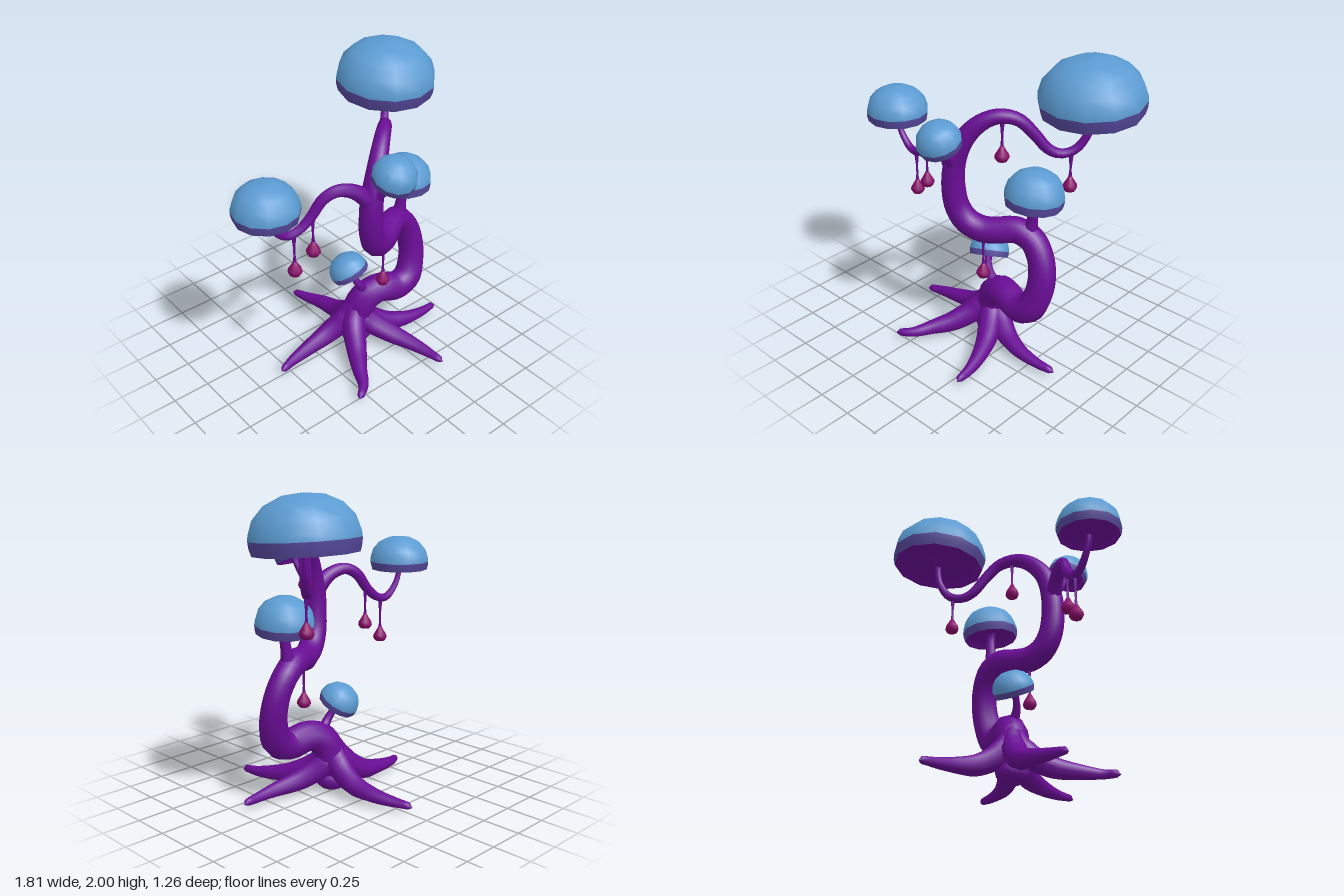
import * as THREE from 'three';
import { mergeVertices } from 'three/addons/utils/BufferGeometryUtils.js';

function mat(name, color) {
  const m = new THREE.MeshStandardMaterial({ color });
  m.name = name;
  return m;
}

// Tapered tube through points [x, y, z, radius]; floor flattens the underside
function taperedTube(points, segments, sides, floor = -Infinity) {
  const curve = new THREE.CatmullRomCurve3(points.map(p => new THREE.Vector3(p[0], p[1], p[2])));
  let geo = new THREE.TubeGeometry(curve, segments, 1, sides);
  const pos = geo.attributes.position;
  const v = new THREE.Vector3();
  for (let i = 0; i <= segments; i++) {
    const u = i / segments;
    const centre = curve.getPointAt(u);
    const t = curve.getUtoTmapping(u) * (points.length - 1);
    const k = Math.min(Math.floor(t), points.length - 2);
    const r = THREE.MathUtils.lerp(points[k][3], points[k + 1][3], t - k);
    for (let j = 0; j <= sides; j++) {
      const n = i * (sides + 1) + j;
      v.fromBufferAttribute(pos, n).sub(centre).multiplyScalar(r).add(centre);
      pos.setXYZ(n, v.x, Math.max(v.y, floor), v.z);
    }
  }
  geo.deleteAttribute('uv');
  geo.deleteAttribute('normal');
  geo = mergeVertices(geo, 1e-5);
  geo.computeVertexNormals();
  return geo;
}

function lathe(profile, scale, sides, stretch = 1) {
  return new THREE.LatheGeometry(
    profile.map(([r, y]) => new THREE.Vector2(r * scale, y * scale * stretch)), sides);
}

export function createModel() {
  const bark = mat('purple bark', 0x6a0d96);
  const blue = mat('blue cap', 0x5b9bd2);
  const violet = mat('violet rim', 0x55489a);
  const magenta = mat('magenta bulb', 0x8a0a6a);

  const model = new THREE.Group();
  const add = (name, geo, material, parent = model) => {
    const mesh = new THREE.Mesh(geo, material);
    mesh.name = name;
    parent.add(mesh);
    return mesh;
  };

  // Winding trunk, running up into the stalk of the largest cap
  add('trunk', taperedTube([
    [0.06, 0.04, 0.02, 0.07], [0.07, 0.2, 0.02, 0.11], [0.11, 0.34, 0.04, 0.105],
    [0.21, 0.4, 0.07, 0.1], [0.37, 0.37, 0.1, 0.1], [0.46, 0.41, 0.1, 0.1],
    [0.51, 0.52, 0.08, 0.092], [0.52, 0.64, 0.06, 0.088], [0.49, 0.77, 0.045, 0.085],
    [0.42, 0.87, 0.045, 0.085], [0.32, 0.915, 0.08, 0.085], [0.22, 0.9, 0.14, 0.085],
    [0.13, 0.895, 0.19, 0.085], [0.04, 0.94, 0.235, 0.083], [-0.015, 1.03, 0.26, 0.08],
    [-0.035, 1.16, 0.272, 0.077], [-0.03, 1.3, 0.27, 0.073], [0.01, 1.45, 0.255, 0.066],
    [0.07, 1.56, 0.215, 0.058], [0.14, 1.63, 0.16, 0.051], [0.21, 1.655, 0.1, 0.046],
    [0.28, 1.63, 0.03, 0.041], [0.34, 1.54, -0.04, 0.037], [0.4, 1.43, -0.11, 0.034],
    [0.45, 1.395, -0.17, 0.031], [0.51, 1.42, -0.235, 0.029], [0.56, 1.52, -0.285, 0.025],
    [0.575, 1.62, -0.3, 0.021], [0.575, 1.74, -0.3, 0.03],
  ], 96, 10), bark);

  // Side branch and the short stalks
  add('sideBranch', taperedTube([
    [-0.02, 1.25, 0.27, 0.06], [-0.08, 1.345, 0.26, 0.054], [-0.16, 1.41, 0.235, 0.045],
    [-0.25, 1.43, 0.205, 0.04], [-0.33, 1.39, 0.175, 0.037], [-0.41, 1.28, 0.15, 0.033],
    [-0.49, 1.215, 0.135, 0.029], [-0.57, 1.205, 0.125, 0.026], [-0.65, 1.27, 0.12, 0.022],
    [-0.695, 1.36, 0.12, 0.019], [-0.7, 1.45, 0.12, 0.024],
  ], 48, 8), bark);
  const stalks = [
    [[-0.02, 1.32, 0.28, 0.045], [0, 1.41, 0.35, 0.032], [0.01, 1.47, 0.4, 0.02], [0.01, 1.54, 0.43, 0.024]],
    [[0.4, 0.88, 0.05, 0.055], [0.42, 1.0, 0.05, 0.036], [0.435, 1.12, 0.055, 0.03], [0.43, 1.19, 0.055, 0.04]],
    [[0.13, 0.4, 0.05, 0.04], [0.07, 0.48, 0.05, 0.028], [0.035, 0.545, 0.03, 0.022], [0.01, 0.61, -0.01, 0.03]],
  ];
  for (const s of stalks) add('capStalk', taperedTube(s, 12, 8), bark);

  // Spreading roots with flat undersides, listed as ground paths
  const roots = [
    [[0.07, -0.05], [0.085, -0.2], [0.07, -0.38], [0.03, -0.52], [0, -0.625]],
    [[-0.01, -0.01], [-0.15, -0.045], [-0.32, -0.04], [-0.47, -0.02], [-0.57, 0.01]],
    [[0, 0.07], [-0.09, 0.21], [-0.18, 0.35], [-0.25, 0.47], [-0.335, 0.535]],
    [[0.1, 0.07], [0.2, 0.22], [0.27, 0.38], [0.305, 0.51], [0.32, 0.62]],
    [[0.12, 0.03], [0.26, 0.1], [0.42, 0.145], [0.57, 0.155], [0.7, 0.145]],
  ];
  const rootY = [0.2, 0.105, 0.07, 0.055, 0.05];
  const rootR = [0.085, 0.07, 0.05, 0.034, 0.02];
  for (const path of roots) {
    const pts = path.map(([x, z], i) => [x, rootY[i], z, rootR[i]]);
    const tip = pts[4], prev = pts[3];
    pts.unshift([0.065, 0.34, 0.02, 0.06]);
    pts.push([tip[0] + (tip[0] - prev[0]) * 0.07, 0.045, tip[2] + (tip[2] - prev[2]) * 0.07, 0.001]);
    add('root', taperedTube(pts, 28, 10, 0.03), bark);
  }
  const base = add('rootBase', new THREE.SphereGeometry(0.1, 12, 8), bark);
  base.position.set(0.06, 0.08, 0.02);
  base.scale.set(1.1, 0.8, 1.1);

  // Mushroom caps: hollow underside, violet rim band and blue dome
  const underside = [[0, -0.02], [0.09, -0.02], [0.14, 0.12], [0.4, 0.26], [0.75, 0.24], [0.87, 0.04], [0.95, 0]];
  const rim = [[0.95, 0], [0.99, 0.14], [1, 0.25]];
  const dome = [[1, 0.25], [0.99, 0.36], [0.91, 0.6], [0.7, 0.83], [0.38, 0.98], [0, 1.02]];
  const caps = [
    // rim centre, radius, height stretch, axis
    [[0.57, 1.665, -0.302], 0.33, 1.0, [0, 1, 0.075]],
    [[-0.7, 1.39, 0.12], 0.205, 1.08, [0, 1, 0]],
    [[0.43, 1.125, 0.055], 0.188, 1.2, [0.04, 1, -0.09]],
    [[0.006, 1.495, 0.41], 0.14, 1.18, [0, 0.93, 0.36]],
    [[0.025, 0.575, 0.015], 0.133, 1.15, [-0.25, 0.85, -0.45]],
  ];
  const up = new THREE.Vector3(0, 1, 0);
  for (const [p, r, stretch, axis] of caps) {
    const cap = new THREE.Group();
    cap.name = 'mushroomCap';
    add('capUnderside', lathe(underside, r, 12, stretch), bark, cap);
    add('capRim', lathe(rim, r, 12, stretch), violet, cap);
    add('capDome', lathe(dome, r, 12, stretch), blue, cap);
    cap.position.set(...p);
    cap.quaternion.setFromUnitVectors(up, new THREE.Vector3(...axis).normalize());
    model.add(cap);
  }

  // Hanging bulbs: x, z, bottom y, top y
  const bulb = [[0, 0], [0.034, 0.008], [0.047, 0.03], [0.043, 0.052], [0.024, 0.082], [0.012, 0.105], [0, 0.108]];
  const hanging = [
    [-0.52, 0.13, 0.895, 1.21], [-0.395, 0.155, 1.0, 1.3], [0.21, 0.098, 1.355, 1.64],
    [0.145, 0.195, 0.545, 0.87], [0.495, -0.215, 1.135, 1.41],
  ];
  for (const [x, z, y0, y1] of hanging) {
    const group = new THREE.Group();
    group.name = 'hangingBulb';
    const h = y1 - y0;
    add('bulb', lathe(bulb, 1, 8), magenta, group);
    add('bulbStem', lathe([[0.011, 0.1], [0.007, 0.15], [0.008, h - 0.1], [0.017, h]], 1, 6), bark, group);
    group.position.set(x, y0, z);
    model.add(group);
  }

  return model;
}
